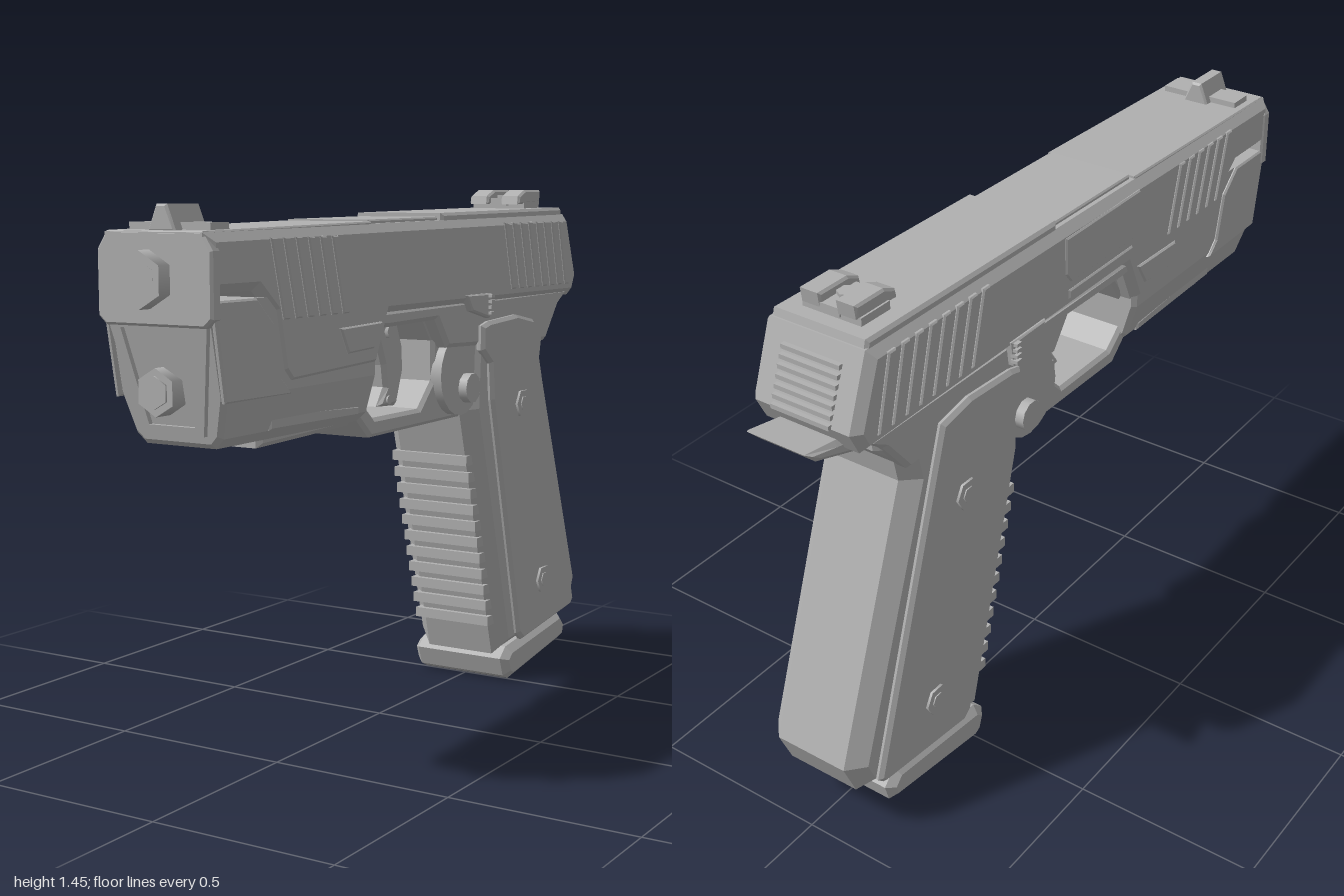
import * as THREE from 'three';

export function createModel() {
  const model = new THREE.Group();
  const gray = new THREE.MeshStandardMaterial({ color: 0xb0b0b0 });
  gray.name = 'plain gray';

  const add = (name, geo, parent = model) => {
    const mesh = new THREE.Mesh(geo, gray);
    mesh.name = name;
    parent.add(mesh);
    return mesh;
  };
  const group = (name) => {
    const g = new THREE.Group();
    g.name = name;
    model.add(g);
    return g;
  };
  const toShape = (pts) => new THREE.Shape(pts.map(([a, b]) => new THREE.Vector2(a, b)));
  const extrude = (shape, w, b) => new THREE.ExtrudeGeometry(shape, {
    depth: w - 2 * b, bevelEnabled: b > 0, bevelThickness: b, bevelSize: b, bevelOffset: -b, bevelSegments: 1,
  }).translate(0, 0, b - w / 2);
  // Side profile given as [z, y], extruded to width w around x = cx
  const profile = (pts, w, b = 0, cx = 0, hole = null) => {
    const s = toShape(pts);
    if (hole) s.holes.push(toShape(hole));
    return extrude(s, w, b).rotateY(-Math.PI / 2).translate(cx, 0, 0);
  };
  const box = (w, h, d, x, y, z) => new THREE.BoxGeometry(w, h, d).translate(x, y, z);
  const mirrored = [1, -1];

  // Slide with stepped lower edge
  const slide = group('slide');
  add('slideBody', profile([
    [0.96, 1.215], [0.96, 1.35], [0.26, 1.36], [-0.1, 1.365], [-0.84, 1.375], [-0.91, 1.19], [-0.88, 1.13],
    [-0.3, 1.13], [0.2, 1.13], [0.26, 1.0], [0.65, 0.985], [0.685, 1.02], [0.715, 1.16], [0.78, 1.215],
  ], 0.318, 0.022), slide);
  add('frontTopPanel', profile([[0.955, 1.34], [0.955, 1.353], [0.26, 1.366], [0.26, 1.34]], 0.276, 0.004), slide);
  add('rearTopPanel', profile([[-0.1, 1.34], [-0.1, 1.384], [-0.83, 1.395], [-0.845, 1.34]], 0.276, 0.008), slide);
  add('slideNose', extrude(toShape([
    [-0.163, 1.16], [-0.163, 1.31], [-0.135, 1.353], [0.135, 1.353], [0.163, 1.31], [0.163, 1.16], [0.14, 1.14], [-0.14, 1.14],
  ]), 0.035, 0.006).translate(0, 0, 0.943), slide);

  // Chamber cover wrapping the ejection side
  add('chamberTop', profile([[0.255, 1.34], [0.255, 1.37], [-0.095, 1.374], [-0.095, 1.34]], 0.25, 0.004), slide);
  add('ejectionPort', profile([[0.25, 1.34], [0.25, 1.23], [0.22, 1.21], [-0.07, 1.21], [-0.095, 1.24], [-0.095, 1.34]],
    0.012, 0.004, -0.158), slide);
  add('extractor', profile([[0.22, 1.19], [0.22, 1.165], [-0.08, 1.165], [-0.08, 1.19]], 0.012, 0.004, -0.158), slide);

  // Slanted grip ridges on both sides of the slide
  const ridges = (name, count, z0, step, topY, lowY) => {
    for (const s of mirrored) for (let i = 0; i < count; i++) {
      const z = z0 - i * step, dz = (topY - lowY) * 0.26;
      add(name, profile([[z, topY], [z - 0.026, topY], [z - 0.026 - dz, lowY], [z - dz, lowY]], 0.014, 0.004, s * 0.158), slide);
    }
  };
  ridges('frontRidge', 6, 0.735, 0.051, 1.335, 1.145);
  ridges('rearRidge', 8, -0.415, 0.05, 1.355, 1.165);

  // Ridged plate on the back of the slide
  for (let i = 0; i < 7; i++) {
    const y = 1.195 + i * 0.022;
    add('backPlateRidge', box(0.17, 0.012, 0.03, 0, y, -0.905 + (y - 1.19) * 0.37), slide);
  }

  // Front frame: tapered section with a raked nose
  const frame = group('frame');
  const rake = (geo) => {
    const p = geo.attributes.position;
    for (let i = 0; i < p.count; i++) {
      if (p.getZ(i) > 0.8) p.setZ(i, p.getZ(i) - (1.2 - p.getY(i)) * 0.2);
    }
    geo.computeVertexNormals();
    return geo;
  };
  add('frontFrame', rake(extrude(toShape([
    [-0.152, 1.2], [-0.152, 0.98], [-0.125, 0.885], [-0.1, 0.86], [0.1, 0.86], [0.125, 0.885], [0.152, 0.98], [0.152, 1.2],
  ]), 0.69, 0.012).translate(0, 0, 0.603)), frame);
  const nose = (top, low, y0, y1) => toShape([[-top, y1], [-low, y0], [low, y0], [top, y1]]);
  const rim = nose(0.14, 0.088, 0.89, 1.15);
  rim.holes.push(nose(0.108, 0.066, 0.91, 1.15 - 0.015));
  add('noseRim', rake(extrude(rim, 0.016, 0).translate(0, 0, 0.953)), frame);
  for (const s of mirrored) {
    add('noseSidePanel', profile([[0.95, 1.2], [0.785, 1.2], [0.72, 1.14], [0.69, 1.01], [0.65, 0.97], [0.91, 0.97]],
      0.016, 0.005, s * 0.152), frame);
    add('sideInset', profile([[0.445, 1.11], [0.25, 1.115], [0.29, 1.05], [0.41, 1.045]], 0.014, 0.005, s * 0.159), frame);
    add('railLip', profile([[0.7, 0.925], [0.31, 0.905], [0.31, 0.88], [0.7, 0.885]], 0.03, 0.005, s * 0.117), frame);
  }
  add('accessoryRail', profile([[0.7, 0.92], [0.7, 0.84], [0.3, 0.85], [0.27, 0.92]], 0.2, 0.012), frame);

  // Barrel tip and guide rod
  const hexZ = (r, d, y, z) => new THREE.CylinderGeometry(r, r, d, 6).toNonIndexed().rotateX(Math.PI / 2).translate(-0.01, y, z);
  add('barrelTip', hexZ(0.066, 0.06, 1.245, 0.97));
  add('barrelCore', hexZ(0.046, 0.06, 1.245, 0.9702));
  add('guideRod', hexZ(0.056, 0.06, 0.99, 0.918));
  add('guideRodCore', hexZ(0.038, 0.066, 0.99, 0.92));

  // Trigger guard, upper frame and tail
  add('triggerGuard', profile([
    [0.31, 1.12], [0.31, 0.89], [0.22, 0.81], [-0.26, 0.815], [-0.34, 0.9], [-0.34, 1.12],
  ], 0.22, 0.01, 0, [
    [0.26, 0.99], [0.195, 1.09], [-0.055, 1.1], [-0.1, 1.04], [-0.1, 0.93], [-0.03, 0.86], [0.2, 0.86], [0.26, 0.91],
  ]), frame);
  add('upperFrame', profile([
    [0.24, 1.14], [0.24, 1.1], [0.2, 1.095], [-0.06, 1.1], [-0.12, 1.02], [-0.72, 1.0], [-0.8, 1.1], [-0.86, 1.145],
  ], 0.296, 0.012), frame);
  add('tail', profile([
    [-0.6, 1.13], [-0.82, 1.14], [-0.9, 1.155], [-1.0, 1.17], [-0.965, 1.135], [-0.8, 1.08], [-0.73, 1.02], [-0.7, 0.9], [-0.6, 0.9],
  ], 0.19, 0.012), frame);
  add('trigger', profile([
    [0.06, 1.1], [0.07, 1.05], [0.04, 0.98], [0.03, 0.92], [0.065, 0.87], [-0.03, 0.865], [-0.065, 0.96], [-0.06, 1.03], [-0.03, 1.1],
  ], 0.08, 0.012));
  const pinX = (r, w, y, z, sides) => new THREE.CylinderGeometry(r, r, w, sides).toNonIndexed().rotateZ(Math.PI / 2).translate(0, y, z);
  add('triggerPin', pinX(0.02, 0.1, 1.07, 0.02, 6));
  add('triggerLowerPin', pinX(0.012, 0.09, 0.885, 0.02, 8));
  add('releaseBoss', pinX(0.115, 0.27, 0.94, -0.215, 20));
  add('magazineRelease', pinX(0.042, 0.32, 0.9, -0.24, 10));

  // Slide catches with small ridges
  for (const s of mirrored) {
    add('slideCatch', profile([[-0.19, 1.16], [-0.335, 1.16], [-0.325, 1.09], [-0.22, 1.115]], 0.03, 0.005, s * 0.153));
    for (let i = 0; i < 4; i++) {
      add('catchRidge', box(0.02, 0.009, 0.02, s * 0.168, 1.105 + i * 0.016, -0.32));
    }
  }

  // Grip with chamfered front and back straps
  const grip = group('grip');
  add('gripCore', profile([
    [-0.27, 1.12], [-0.255, 0.83], [-0.465, 0.08], [-0.86, 0.12], [-0.94, 0.135], [-0.98, 0.23],
    [-0.715, 0.95], [-0.73, 1.02], [-0.8, 1.08], [-0.8, 1.12],
  ], 0.296, 0.042), grip);
  for (let i = 0; i < 11; i++) {
    const y = 0.19 + i * 0.0495;
    add('frontStrapRidge', box(0.245, 0.028, 0.06, -0.003, y, -0.265 - (0.83 - y) * 0.28 + 0.0), grip);
  }
  for (const s of mirrored) {
    add('gripPanel', profile([
      [-0.29, 1.0], [-0.29, 1.07], [-0.33, 1.08], [-0.5, 1.09], [-0.61, 1.07], [-0.63, 1.01], [-0.91, 0.17], [-0.89, 0.15],
      [-0.56, 0.11], [-0.53, 0.135], [-0.35, 0.855], [-0.34, 0.96],
    ], 0.03, 0.01, s * 0.15), grip);
  }
  for (const [z, y] of [[-0.53, 0.83], [-0.68, 0.275]]) {
    add('gripScrew', pinX(0.042, 0.344, y, z, 6), grip);
    add('gripScrewCore', pinX(0.022, 0.35, y, z, 6), grip);
  }
  add('magazineBase', profile([
    [-0.455, 0.07], [-0.475, 0.015], [-0.505, 0], [-0.855, 0.052], [-0.868, 0.1], [-0.83, 0.14], [-0.49, 0.1],
  ], 0.318, 0.02), grip);

  // Sights
  const sights = group('sights');
  add('rearSightBase', box(0.17, 0.04, 0.1, -0.003, 1.395, -0.74), sights);
  for (const s of mirrored) {
    add('rearSightBlade', profile([[-0.655, 1.405], [-0.66, 1.43], [-0.7, 1.447], [-0.8, 1.447], [-0.795, 1.41]],
      0.062, 0.006, s * 0.052), sights);
  }
  add('rearSightBridge', box(0.06, 0.022, 0.12, 0, 1.412, -0.735), sights);
  add('rearSightScrew', new THREE.CylinderGeometry(0.026, 0.026, 0.02, 6).toNonIndexed().translate(0, 1.422, -0.73), sights);
  add('frontSightBase', box(0.23, 0.022, 0.07, 0, 1.36, 0.865), sights);
  add('frontSightPost', extrude(toShape([[-0.04, 1.35], [-0.015, 1.412], [0.015, 1.412], [0.04, 1.35]]), 0.125, 0.006)
    .translate(0, 0, 0.868), sights);

  return model;
}
